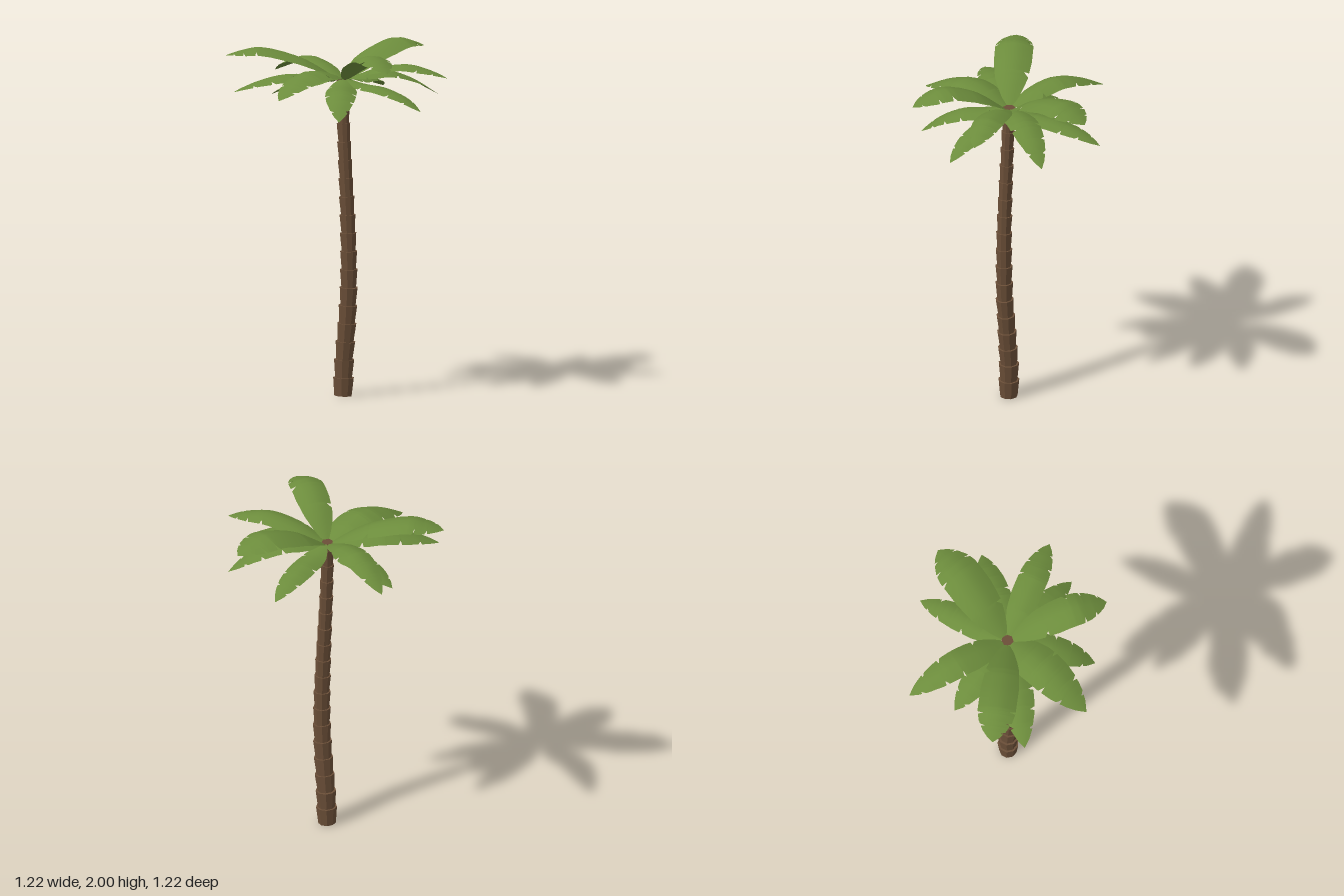
import * as THREE from 'three';

const bark = new THREE.MeshStandardMaterial({ color: 0x6b4f38, flatShading: true });
bark.name = 'bark brown';
const green = new THREE.MeshStandardMaterial({ color: 0x6c8c3c, side: THREE.DoubleSide });
green.name = 'leaf green';

const HUB = new THREE.Vector3(0.03, 1.81, 0.02);

// Piecewise linear lookup in [position, value] pairs
function lookup(pairs, t) {
  for (let i = 1; i < pairs.length; i++) {
    const [a, va] = pairs[i - 1], [b, vb] = pairs[i];
    if (t <= b) return va + (vb - va) * (t - a) / (b - a);
  }
  return pairs[pairs.length - 1][1];
}

// Blade half-width along its length, as a share of the maximum
const OUTLINE = [[0, 0.2], [0.1, 0.58], [0.22, 0.86], [0.36, 1], [0.55, 1], [0.7, 0.88], [0.84, 0.62], [0.93, 0.34], [1, 0.01]];

// One torn, arched leaf from the hub to its tip
function makeLeaf(tip, peakAt, peakY, halfWidth, seed) {
  const dir = new THREE.Vector3(tip[0] - HUB.x, 0, tip[2] - HUB.z);
  const reach = dir.length();
  dir.normalize();
  const side = new THREE.Vector3(-dir.z, 0, dir.x);
  const start = 0.03;
  const arch = new THREE.CatmullRomCurve3([
    new THREE.Vector3(start, HUB.y, 0),
    new THREE.Vector3(reach * peakAt * 0.5, HUB.y + (peakY - HUB.y) * 0.66, 0),
    new THREE.Vector3(reach * peakAt, peakY, 0),
    new THREE.Vector3(reach * (1 + peakAt) / 2, peakY - (peakY - tip[1]) * 0.34, 0),
    new THREE.Vector3(reach, tip[1], 0),
  ]);

  // Tears, at different places on either edge
  const shift = (k) => ((seed * 37 + k * 53) % 11) / 11 * 0.1;
  const tears = [
    [0.46 + shift(1), 0.66 + shift(2), 0.84 + shift(3) * 0.6],
    [0.22 + shift(4), 0.58 + shift(5), 0.78 + shift(6)],
  ];
  const tearFactor = (list, t) => {
    let f = 1;
    for (const n of list) f = Math.min(f, lookup([[0, 1], [n - 0.028, 1], [n, 0.7], [n + 0.006, 1], [1.1, 1]], t));
    return f;
  };
  const rows = [];
  for (let i = 0; i <= 14; i++) rows.push(i / 14);
  for (const n of tears.flat()) rows.push(n - 0.028, n, n + 0.006);
  rows.sort((a, b) => a - b);

  const columns = [-1, -0.5, 0, 0.5, 1];
  const positions = [], indices = [];
  rows.forEach((t, r) => {
    const p = arch.getPoint(t);
    const w = halfWidth * lookup(OUTLINE, t);
    columns.forEach((u, c) => {
      let off = u * w;
      if (u === -1) off *= tearFactor(tears[0], t);
      if (u === 1) off *= tearFactor(tears[1], t);
      const droop = 0.32 * off * off / halfWidth;
      positions.push(
        HUB.x + dir.x * p.x + side.x * off,
        p.y - droop,
        HUB.z + dir.z * p.x + side.z * off);
      if (r > 0 && c > 0) {
        const d = r * 5 + c, b = d - 5;
        indices.push(b - 1, d - 1 + 1, b, b - 1, d - 1, d);
      }
    });
  });
  // Wind the faces so that they look up
  for (let i = 0; i < indices.length; i += 3) [indices[i + 1], indices[i + 2]] = [indices[i + 2], indices[i + 1]];
  const g = new THREE.BufferGeometry();
  g.setAttribute('position', new THREE.Float32BufferAttribute(positions, 3));
  g.setIndex(indices);
  g.computeVertexNormals();
  // Check the winding once and turn it if needed
  if (g.attributes.normal.getY(7 * 5 + 2) < 0) {
    indices.reverse();
    g.setIndex(indices);
    g.computeVertexNormals();
  }
  return new THREE.Mesh(g, green);
}

export function createModel() {
  const model = new THREE.Group();
  model.name = 'palmTree';

  // Trunk: stacked rings that flare upward along a gentle bend
  const trunk = new THREE.Group();
  trunk.name = 'trunk';
  const bendX = [[0, 0.034], [0.2, 0.037], [0.42, 0.056], [0.63, 0.072], [0.85, 0.074], [1.05, 0.069], [1.25, 0.059], [1.5, 0.044], [1.77, 0.031]];
  const bendZ = [[0, 0.02], [0.25, 0.013], [0.5, 0.007], [0.8, 0.01], [1.1, 0.017], [1.4, 0.022], [1.77, 0.023]];
  const radius = [[0, 0.06], [0.4, 0.054], [0.8, 0.048], [1.2, 0.042], [1.77, 0.036]];
  const at = (y) => new THREE.Vector3(lookup(bendX, y), y, lookup(bendZ, y));
  const up = new THREE.Vector3(0, 1, 0);
  const count = 17, step = 1.765 / count;
  for (let i = 0; i < count; i++) {
    const a = at(i * step), b = at((i + 1) * step);
    const r = lookup(radius, i * step);
    const ring = new THREE.Mesh(new THREE.CylinderGeometry(r, r * 0.84, a.distanceTo(b), 9), bark);
    ring.name = 'trunkRing';
    ring.position.copy(a).add(b).multiplyScalar(0.5);
    ring.quaternion.setFromUnitVectors(up, b.clone().sub(a).normalize());
    trunk.add(ring);
  }
  const crown = new THREE.Mesh(new THREE.CylinderGeometry(0.036, 0.03, 0.05, 9), bark);
  crown.name = 'crown';
  crown.position.set(HUB.x, 1.785, 0.022);
  trunk.add(crown);
  model.add(trunk);

  // Leaves: tip, place of the peak, peak height, half-width
  const leaves = [
    // upper tier
    [[0.605, 1.92, 0.155], 0.66, 1.997, 0.098],
    [[-0.04, 1.93, -0.61], 0.68, 1.997, 0.122],
    [[-0.39, 1.94, 0.535], 0.7, 1.99, 0.108],
    // middle tier
    [[-0.61, 1.78, 0], 0.52, 1.9, 0.085],
    [[0.53, 1.84, -0.335], 0.6, 1.91, 0.085],
    [[0.19, 1.76, 0.605], 0.48, 1.89, 0.118],
    // lower tier
    [[-0.22, 1.76, 0.605], 0.5, 1.85, 0.098],
    [[0.2, 1.69, -0.53], 0.45, 1.845, 0.09],
    [[-0.24, 1.69, -0.48], 0.5, 1.785, 0.08],
    [[0.55, 1.67, -0.13], 0.5, 1.785, 0.075],
    [[0.41, 1.64, 0.345], 0.5, 1.785, 0.088],
    [[-0.42, 1.68, 0.18], 0.5, 1.785, 0.085],
  ];
  const crownLeaves = new THREE.Group();
  crownLeaves.name = 'leaves';
  leaves.forEach(([tip, peakAt, peakY, w], i) => {
    const leaf = makeLeaf(tip, peakAt, peakY, w, i + 1);
    leaf.name = 'leaf';
    crownLeaves.add(leaf);
  });
  model.add(crownLeaves);
  return model;
}
